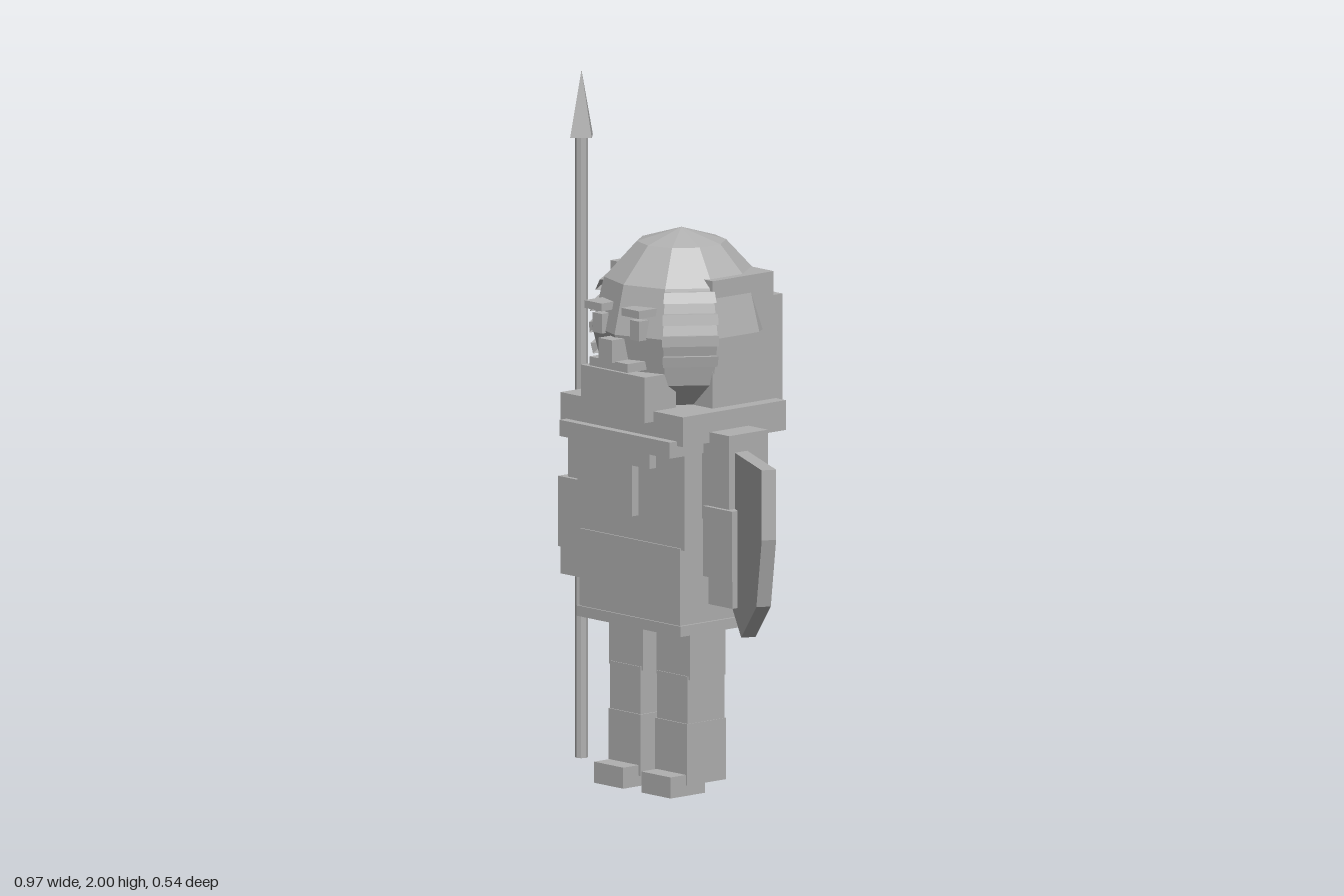
import * as THREE from 'three';

export function createModel() {
  const model = new THREE.Group();
  model.name = 'spearSoldier';
  const grey = new THREE.MeshStandardMaterial({ color: 0xb0b0b0, flatShading: true, side: THREE.DoubleSide });
  grey.name = 'plain grey';
  const CX = -0.12; // body centre line

  function add(name, geometry, x = 0, y = 0, z = 0) {
    const mesh = new THREE.Mesh(geometry, grey);
    mesh.name = name;
    mesh.position.set(x, y, z);
    model.add(mesh);
    return mesh;
  }
  // box given by its extents
  function box(name, x0, x1, y0, y1, z0, z1) {
    return add(name, new THREE.BoxGeometry(x1 - x0, y1 - y0, z1 - z0),
      (x0 + x1) / 2, (y0 + y1) / 2, (z0 + z1) / 2);
  }
  // box centred on the body
  const mid = (name, w, y0, y1, z0, z1) => box(name, CX - w / 2, CX + w / 2, y0, y1, z0, z1);

  // torso and tunic
  mid('skirt', 0.42, 0.49, 0.72, -0.1, 0.175);
  mid('skirtHem', 0.435, 0.47, 0.5, -0.105, 0.18);
  mid('torso', 0.45, 0.715, 1.03, -0.11, 0.17);
  mid('collar', 0.512, 1.02, 1.105, -0.183, 0.205);
  mid('collarFront', 0.462, 0.987, 1.033, 0.1, 0.232);
  mid('chestCrossbar', 0.21, 0.935, 0.99, 0.15, 0.195);
  mid('chestStrip', 0.064, 0.79, 0.96, 0.15, 0.195);

  // legs and arms, mirrored
  for (const [side, s] of [['left', 1], ['right', -1]]) {
    const part = (name, near, far, ...rest) => {
      const a = CX + s * near, b = CX + s * far;
      box(side + name, Math.min(a, b), Math.max(a, b), ...rest);
    };
    part('Thigh', 0.028, 0.17, 0.33, 0.5, -0.033, 0.1);
    part('Knee', 0.034, 0.163, 0.19, 0.34, -0.036, 0.103);
    part('Shin', 0.03, 0.165, 0.03, 0.205, -0.04, 0.107);
    part('Foot', 0.038, 0.16, 0, 0.06, 0.035, 0.165);
    part('UpperArm', 0.224, 0.337, 0.8, 1.05, -0.043, 0.104);
    part('Forearm', 0.243, 0.364, 0.64, 0.84, -0.024, 0.117);
    part('Hand', 0.26, 0.36, 0.562, 0.65, -0.02, 0.112);
  }

  // head block behind the dome, with a slab at the back
  mid('headBlock', 0.428, 1.08, 1.468, -0.175, 0.055);
  mid('headBackSlab', 0.428, 1.08, 1.4, -0.208, -0.15);

  // faceted helmet dome and its lower front
  const HY = 1.308, HZ = -0.02;
  const dome = add('helmetDome', new THREE.SphereGeometry(0.252, 10, 3, -Math.PI / 2 + Math.PI / 10 * 2, Math.PI * 2, 0, Math.PI / 2), CX, HY, HZ);
  dome.geometry.dispose();
  const domeProfile = [[0.252, 0], [0.218, 0.138], [0.126, 0.238], [0, 0.276]].map(p => new THREE.Vector2(...p));
  dome.geometry = new THREE.LatheGeometry(domeProfile, 10);

  const arc = Math.PI * 0.4; // half the angle covered by the front shell
  const front = [[0, -0.25], [0.13, -0.235], [0.218, -0.138], [0.252, 0], [0.218, 0.138]].map(p => new THREE.Vector2(...p));
  add('faceShell', new THREE.LatheGeometry(front, 4, -arc, arc * 2), CX, HY, HZ);

  // raised ridges around the sides of the face
  for (const y of [-0.08, -0.02, 0.04, 0.1]) {
    const r = v => 0.252 * Math.sqrt(1 - (v / 0.276) ** 2);
    const ridge = [[r(y) - 0.02, y], [r(y) + 0.008, y], [r(y + 0.03) + 0.008, y + 0.03], [r(y + 0.03) - 0.02, y + 0.03]]
      .map(p => new THREE.Vector2(...p));
    for (const start of [-arc, arc / 2])
      add('helmetRidge', new THREE.LatheGeometry(ridge, 1, start, arc / 2), CX, HY, HZ);
  }

  // face
  for (const s of [-1, 1]) {
    const ex = CX + s * 0.078;
    box('eye', ex - 0.019, ex + 0.019, 1.302, 1.358, 0.15, 0.227);
    box('brow', ex - 0.036, ex + 0.036, 1.37, 1.392, 0.14, 0.243);
  }
  mid('nose', 0.056, 1.235, 1.3, 0.15, 0.267);
  mid('mouth', 0.16, 1.213, 1.238, 0.14, 0.255);
  mid('beard', 0.266, 1.075, 1.205, 0.12, 0.238);

  // spear
  add('spearShaft', new THREE.CylinderGeometry(0.018, 0.018, 1.78, 8), -0.433, 0.93, 0.075);
  add('spearHead', new THREE.ConeGeometry(0.043, 0.19, 4), -0.433, 1.905, 0.075);

  // shield turned outward on the left arm
  const outline = new THREE.Shape([[-0.21, 1], [0.21, 1], [0.21, 0.8], [0.155, 0.6], [0, 0.485], [-0.155, 0.6], [-0.21, 0.8]]
    .map(p => new THREE.Vector2(...p)));
  const shieldGeometry = new THREE.ExtrudeGeometry(outline, { depth: 0.042, bevelEnabled: false });
  shieldGeometry.translate(0, 0, -0.021);
  add('shield', shieldGeometry, 0.285, 0, 0.092).rotation.y = -0.455;

  return model;
}
